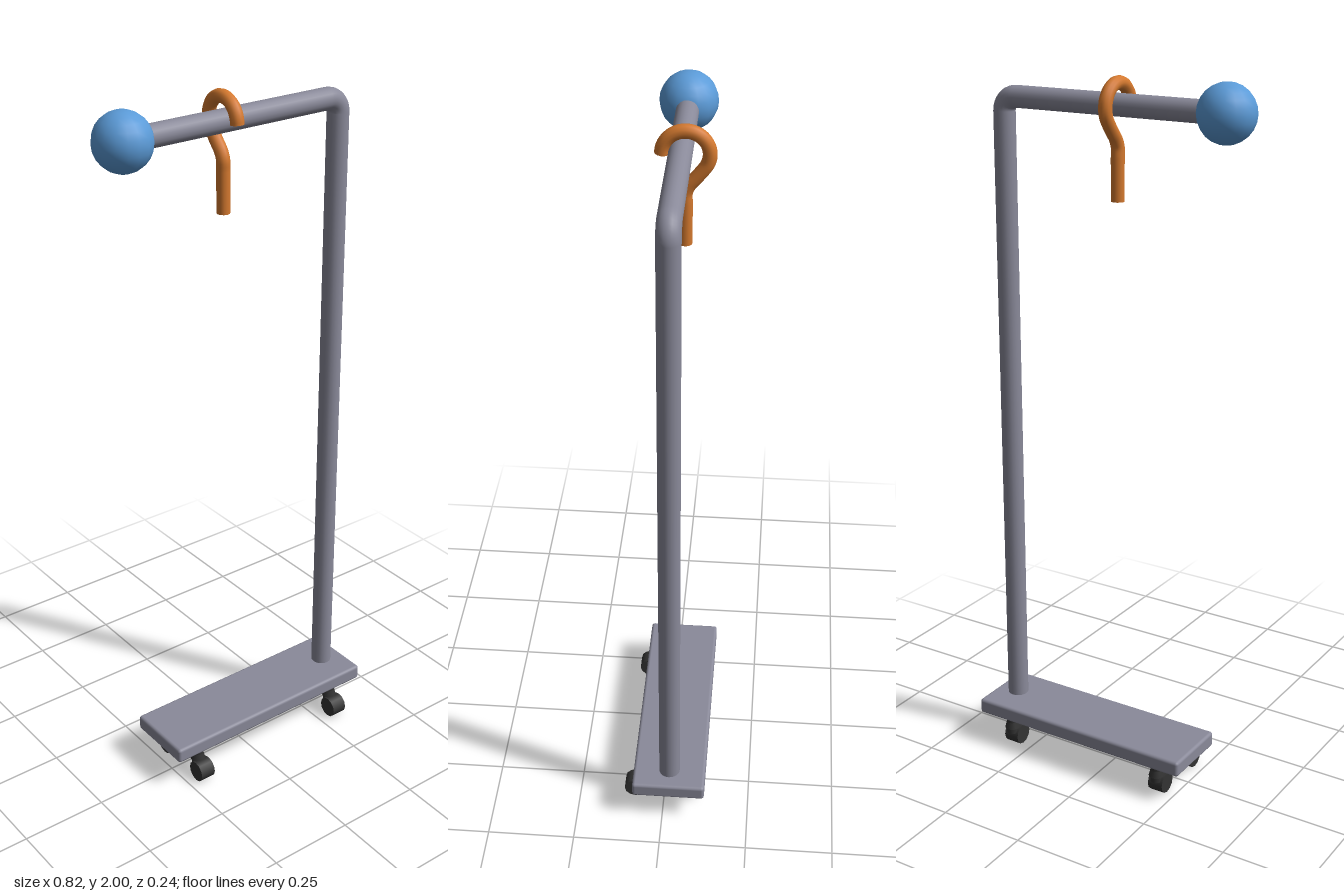
import * as THREE from 'three';
import { RoundedBoxGeometry } from 'three/addons/geometries/RoundedBoxGeometry.js';

const Z = -0.018; // centre plane of the stand
const mat = (color) => new THREE.MeshStandardMaterial({ color });

export function createModel() {
  const model = new THREE.Group();
  model.name = 'rollingStand';
  const metal = mat(0x8a8a9a), blue = mat(0x5b9bd8), orange = mat(0xd4792f), dark = mat(0x333333);

  const add = (name, geometry, material, x, y, z, parent = model) => {
    const mesh = new THREE.Mesh(geometry, material);
    mesh.name = name;
    mesh.position.set(x, y, z);
    parent.add(mesh);
    return mesh;
  };

  // Base plate
  add('base', new RoundedBoxGeometry(0.69, 0.046, 0.21, 2, 0.009), metal, 0.063, 0.112, Z);

  // Upright, bend and horizontal arm
  const r = 0.03, bend = 0.04, poleX = 0.34, armY = 1.925;
  const poleTop = armY - bend, armEnd = poleX - bend, armStart = -0.33;
  add('pole', new THREE.CylinderGeometry(r, r, poleTop - 0.11, 20), metal, poleX, (poleTop + 0.11) / 2, Z);
  add('poleBend', new THREE.TorusGeometry(bend, r, 20, 10, Math.PI / 2), metal, armEnd, poleTop, Z);
  const arm = add('arm', new THREE.CylinderGeometry(r, r, armEnd - armStart, 20), metal, (armStart + armEnd) / 2, armY, Z);
  arm.rotation.z = Math.PI / 2;

  // Ball on the end of the arm
  add('endBall', new THREE.SphereGeometry(0.077, 16, 12), blue, -0.333, armY, Z);

  // Hook: arc over the arm, then a slanted neck and a straight shank
  const hook = new THREE.Group();
  hook.name = 'hook';
  hook.position.set(-0.026, 1.923, -0.031);
  model.add(hook);
  const points = [];
  for (let i = 0; i <= 16; i++) {
    const a = THREE.MathUtils.degToRad((220 * i) / 16);
    points.push(new THREE.Vector3(0, 0.059 * Math.sin(a), 0.059 * Math.cos(a)));
  }
  for (const [y, z] of [[-0.062, -0.026], [-0.082, -0.009], [-0.103, 0], [-0.13, 0], [-0.185, 0], [-0.243, 0]]) {
    points.push(new THREE.Vector3(0, y, z));
  }
  const path = new THREE.CatmullRomCurve3(points);
  add('hookRod', new THREE.TubeGeometry(path, 64, 0.018, 12), orange, 0, 0, 0, hook);
  for (const end of [points[0], points[points.length - 1]]) {
    add('hookEnd', new THREE.CircleGeometry(0.018, 12), orange, end.x, end.y, end.z, hook).rotation.x = Math.PI / 2;
  }

  // Four casters, wheels trailing to the front of their stems
  for (const x of [-0.2, 0.306]) {
    for (const side of [-1, 1]) {
      const caster = new THREE.Group();
      caster.name = 'caster';
      caster.position.set(x, 0, Z + side * 0.081);
      model.add(caster);
      const wheel = add('wheel', new THREE.CylinderGeometry(0.031, 0.031, 0.046, 12), dark, 0, 0.031, 0.023, caster);
      wheel.rotation.z = Math.PI / 2;
      add('stem', new THREE.CylinderGeometry(0.017, 0.017, 0.05, 12), dark, 0, 0.068, 0, caster);
      add('stemCollar', new THREE.CylinderGeometry(0.017, 0.022, 0.02, 12), dark, 0, 0.07, 0, caster);
    }
  }
  return model;
}
